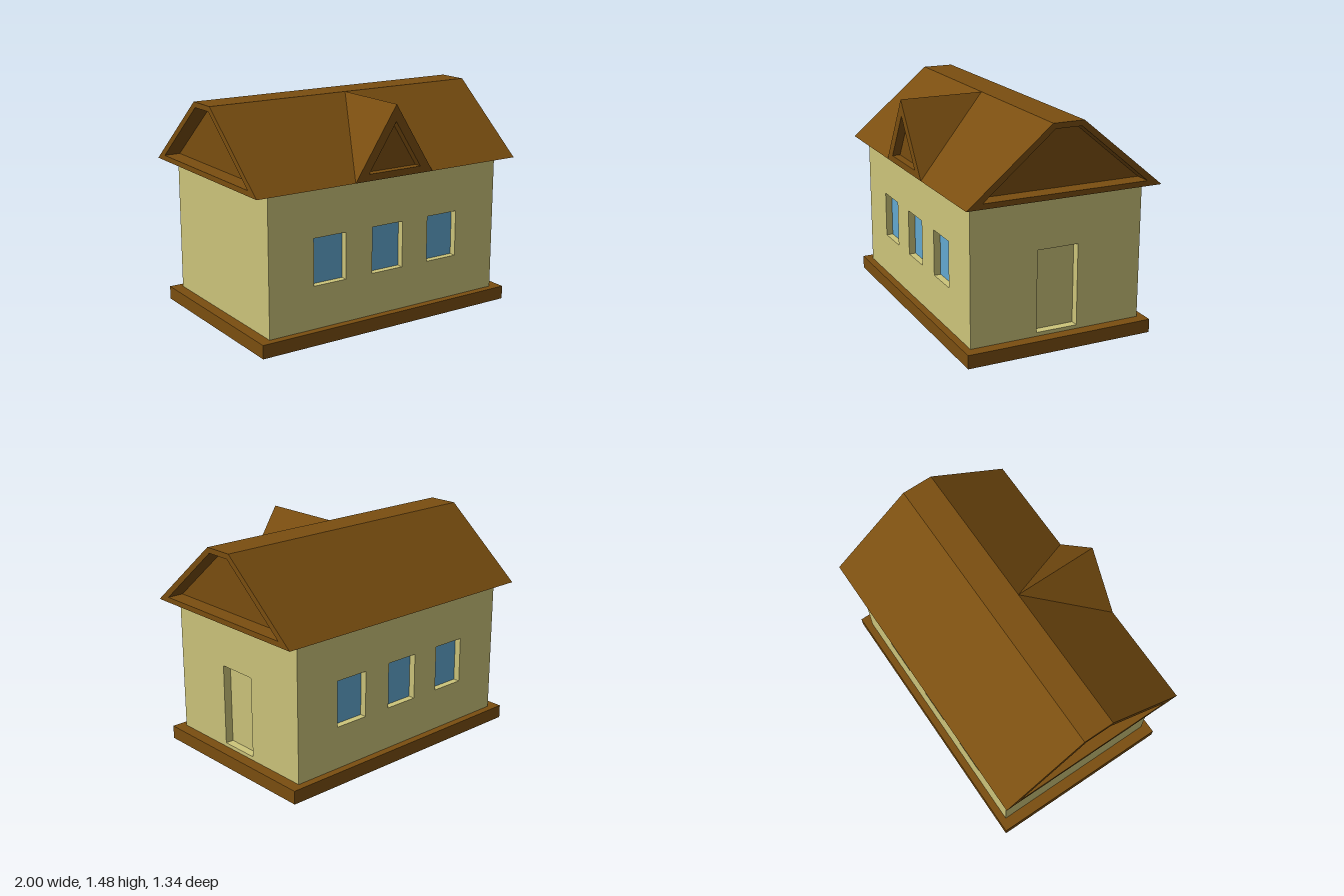
import * as THREE from 'three';

const brown = new THREE.MeshStandardMaterial({ color: 0x7a4e10 });
const cream = new THREE.MeshStandardMaterial({ color: 0xccc47a });
const blue = new THREE.MeshStandardMaterial({ color: 0x62a8d0 });

function part(name, geometry, material, x = 0, y = 0, z = 0) {
  const mesh = new THREE.Mesh(geometry, material);
  mesh.name = name;
  mesh.position.set(x, y, z);
  return mesh;
}

// Flat-faced skin through a series of equal-length loops, capped at the ends
function skin(loops, capStart, capEnd) {
  const pos = [];
  const tri = (a, b, c) => pos.push(...a, ...b, ...c);
  const cap = (l) => { for (let i = 1; i < l.length - 1; i++) tri(l[0], l[i], l[i + 1]); };
  for (let k = 0; k < loops.length - 1; k++) {
    const a = loops[k], b = loops[k + 1], n = a.length;
    for (let i = 0; i < n; i++) {
      const j = (i + 1) % n;
      tri(a[i], a[j], b[j]);
      tri(a[i], b[j], b[i]);
    }
  }
  if (capStart) cap([...loops[0]].reverse());
  if (capEnd) cap(loops[loops.length - 1]);
  const g = new THREE.BufferGeometry();
  g.setAttribute('position', new THREE.Float32BufferAttribute(pos, 3));
  g.computeVertexNormals();
  return g;
}

// Wall slab with rectangular openings; its outer face lies on local z = 0
function wall(width, y0, y1, depth, openings) {
  const rect = (P, x0, b, x1, t) => new P([[x0, b], [x1, b], [x1, t], [x0, t]].map(p => new THREE.Vector2(...p)));
  const shape = rect(THREE.Shape, -width / 2, y0, width / 2, y1);
  for (const o of openings) shape.holes.push(rect(THREE.Path, ...o));
  const g = new THREE.ExtrudeGeometry(shape, { depth, bevelEnabled: false });
  return g.translate(0, 0, -depth);
}

const WX = 0.887, WZ = 0.593, Y0 = 0.09, Y1 = 0.99;

// Long wall with three recessed windows
function windowWall(name) {
  const g = new THREE.Group();
  g.name = name;
  const centres = [-0.443, 0, 0.443], d = 0.045;
  g.add(part('windowWallPanel', wall(WX * 2, Y0, Y1, d, centres.map(c => [c - 0.12, 0.375, c + 0.12, 0.685])), cream));
  for (const c of centres) g.add(part('windowPane', new THREE.BoxGeometry(0.26, 0.33, 0.02), blue, c, 0.53, -d - 0.01));
  return g;
}

export function createModel() {
  const house = new THREE.Group();
  house.name = 'house';

  house.add(part('foundation', new THREE.BoxGeometry(1.925, 0.09, 1.285), brown, 0, 0.045, 0));

  // Walls
  const front = windowWall('frontWall');
  front.position.z = WZ;
  const back = windowWall('backWall');
  back.position.z = -WZ;
  back.rotation.y = Math.PI;
  house.add(front, back);

  const doorWall = part('doorWall', wall(WZ * 2, Y0, Y1, 0.055, [[-0.14, 0.115, 0.143, 0.66]]), cream, WX);
  doorWall.rotation.y = Math.PI / 2;
  const plainWall = part('plainWall', wall(WZ * 2, Y0, Y1, 0.055, []), cream, -WX);
  plainWall.rotation.y = -Math.PI / 2;
  house.add(doorWall, plainWall);
  house.add(part('door', new THREE.BoxGeometry(0.02, 0.58, 0.32), cream, WX - 0.065, 0.39, 0));

  // Main roof: flat-topped section with a recessed gable at each end
  const trapezoid = (x, zb, zt, yb, yt) => [[x, yb, zb], [x, yb, -zb], [x, yt, -zt], [x, yt, zt]];
  const outer = x => trapezoid(x, 0.664, 0.105, 1.01, 1.475);
  const inner = x => trapezoid(x, 0.56, 0.088, 1.045, 1.44);
  house.add(part('roof', skin([inner(-0.89), inner(-1), outer(-1), outer(1), inner(1), inner(0.89)], true, true), brown));

  // Sloping underside of the eaves
  const rect = (x, y, z) => [[-x, y, -z], [x, y, -z], [x, y, z], [-x, y, z]];
  house.add(part('soffit', skin([rect(1, 1.01, 0.664), rect(WX, Y1, WZ)], false, true), brown));

  // Dormer: tapers back to the ridge, with a recessed triangular face
  const tip = [0, 1.475, 0.1];
  const recess = z => [[-0.2, 1.055, z], [0.2, 1.055, z], [0, 1.365, z + 0.006]];
  house.add(part('dormer', skin([
    [tip, tip, tip],
    [[-0.3, 1.01, 0.664], [0.3, 1.01, 0.664], [0, 1.475, 0.673]],
    recess(0.665), recess(0.612),
  ], false, true), brown));

  return house;
}
